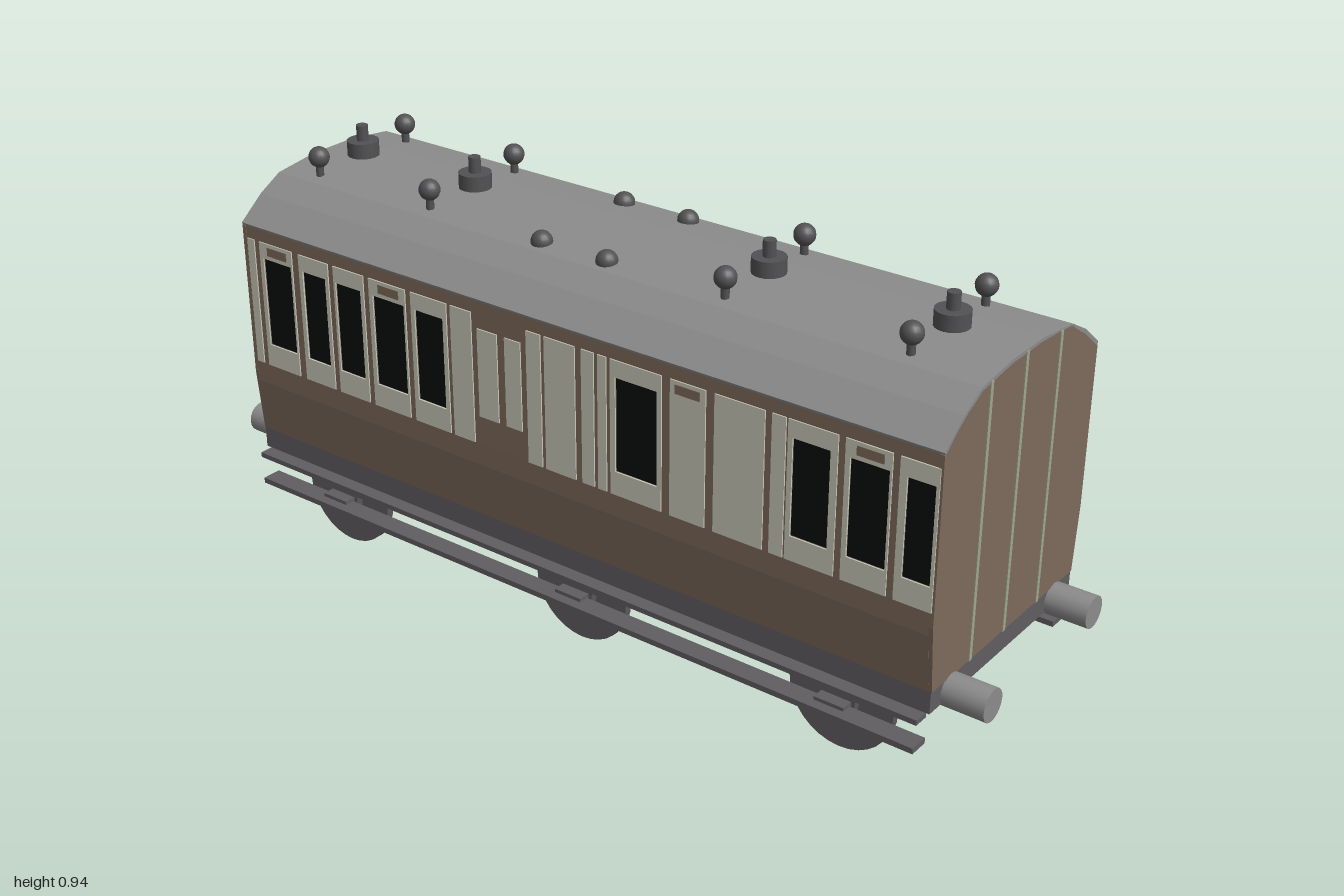
import * as THREE from 'three';

const mat = (name, color, side = THREE.FrontSide) => {
  const m = new THREE.MeshStandardMaterial({ color, side });
  m.name = name;
  return m;
};

export function createModel() {
  const group = new THREE.Group();
  const brown = mat('bodyBrown', 0x7d6a5b);
  const cream = mat('panelCream', 0xc9c9b9);
  const sage = mat('stripSage', 0x9fa68e);
  const roofGrey = mat('roofGrey', 0x8c8c8c);
  const frameGrey = mat('frameGrey', 0x605d61);
  const fittingGrey = mat('fittingGrey', 0x525254);
  const black = mat('glassBlack', 0x090a0b);

  const add = (name, geo, material, x = 0, y = 0, z = 0) => {
    const mesh = new THREE.Mesh(geo, material);
    mesh.name = name;
    mesh.position.set(x, y, z);
    group.add(mesh);
    return mesh;
  };
  // box given by its limits
  const box = (name, m, x0, x1, y0, y1, z0, z1) =>
    add(name, new THREE.BoxGeometry(Math.abs(x1 - x0), y1 - y0, Math.abs(z1 - z0)), m,
      (x0 + x1) / 2, (y0 + y1) / 2, (z0 + z1) / 2);
  const poly = (pts) => new THREE.Shape(pts.map(([a, b]) => new THREE.Vector2(a, b)));
  const extrude = (shape, depth) =>
    new THREE.ExtrudeGeometry(shape, { depth, bevelEnabled: false }).translate(0, 0, -depth / 2);
  // upright plate drawn in (z, y), thickness along x
  const rect = (z0, z1, y0, y1) => poly([[-z0, y0], [-z1, y0], [-z1, y1], [-z0, y1]]);
  const sidePlate = (name, m, shape, x, t) =>
    add(name, extrude(shape, t).rotateY(Math.PI / 2), m, x);

  const END = 0.905;
  const WIN_Y = [0.487, 0.7];
  const BAND_Y = [0.433, 0.738];
  const arc = [[0.298, 0.772], [0.235, 0.822], [0.175, 0.855], [0.06, 0.869]];
  const mirror = (pts) => [...pts, ...pts.slice().reverse().map(([x, y]) => [-x, y])];

  // floor frame
  box('underframe', frameGrey, -0.283, 0.283, 0.2, 0.25, -END, END);

  // roof shell
  const inner = arc.map(([x, y]) => [x - 0.003, y - 0.008]);
  const outerLine = mirror(arc);
  add('roof', extrude(poly([...outerLine, ...mirror(inner).reverse()]), 2 * END + 0.004), roofGrey);

  // end walls with upright strips
  const endShape = poly(mirror([[0.283, 0.25], [0.296, 0.4], [0.297, 0.766],
    ...arc.slice(1).map(([x, y]) => [x, y - 0.004])]));
  for (const s of [1, -1]) {
    add('endWall', extrude(endShape, 0.01), brown, 0, 0, s * (END - 0.003));
    for (const [x, top] of [[-0.14, 0.855], [-0.007, 0.866], [0.13, 0.857]])
      box('endStrip', sage, x - 0.005, x + 0.005, 0.25, top, s * (END + 0.001), s * (END + 0.004));
  }

  // side walls: spans run from front to back
  const windows = [[0.895, 0.834], [0.797, 0.711], [0.668, 0.583], [-0.305, -0.385],
    [-0.417, -0.508], [-0.545, -0.62], [-0.652, -0.722], [-0.759, -0.845]];
  const panels = [[0.902, 0.818], [0.802, 0.7], [0.684, 0.572], [0.567, 0.535], [0.519, 0.401],
    [0.38, 0.294], [0.273, 0.144], [0.134, 0.112], [0.102, 0.07], [0.053, -0.027],
    [-0.037, -0.075], [-0.225, -0.283], [-0.294, -0.396], [-0.412, -0.519], [-0.535, -0.626],
    [-0.642, -0.733], [-0.754, -0.856], [-0.872, -0.893]];
  const shortPanels = [[-0.091, -0.134], [-0.155, -0.209]];
  const vents = [0.755, 0.337, -0.46, -0.8];

  for (const s of [1, -1]) {
    const holes = s > 0 ? windows : [...windows, [0.262, 0.157]];
    const cut = (shape, list) => {
      list.forEach(([a, b]) => shape.holes.push(rect(a, b, ...WIN_Y)));
      return shape;
    };
    const lower = poly([[0.283, 0.25], [0.295, 0.38], [0.296, 0.433], [0.288, 0.433], [0.275, 0.25]]
      .map(([x, y]) => [s * x, y]));
    add('lowerSide', extrude(lower, 2 * END - 0.012), brown);
    sidePlate('upperSide', brown, cut(rect(0.899, -0.899, 0.433, 0.772), holes), s * 0.292, 0.008);
    for (const [a, b] of panels) {
      const own = holes.filter(([c, d]) => c < a && d > b);
      sidePlate('sidePanel', cream, cut(rect(a, b, ...BAND_Y), own), s * 0.297, 0.004);
    }
    for (const [a, b] of shortPanels)
      sidePlate('shortPanel', cream, rect(a, b, 0.5, 0.705), s * 0.297, 0.004);
    for (const z of vents)
      sidePlate('doorVent', brown, rect(z + 0.03, z - 0.03, 0.71, 0.73), s * 0.299, 0.003);
    // dark glass on the right side only
    if (s < 0) for (const [a, b] of holes)
      sidePlate('windowGlass', black, rect(a, b, ...WIN_Y), -0.292, 0.004);

    // footboards
    box('upperFootboard', frameGrey, s * 0.272, s * 0.308, 0.182, 0.194, -0.9, 0.892);
    box('lowerFootboard', frameGrey, s * 0.262, s * 0.308, 0.114, 0.127, -0.897, 0.888);

    // buffers
    for (const e of [1, -1])
      add('buffer', new THREE.CylinderGeometry(0.036, 0.036, 0.1, 20).rotateX(Math.PI / 2),
        roofGrey, s * 0.209, 0.22, e * 0.95);

    // wheels with springs and axle boxes
    const spring = poly(mirror([[0.16, 0.2], [0.16, 0.188], [0.14, 0.178], [0.14, 0.16],
      [0.115, 0.152], [0.095, 0.138], [0.045, 0.138], [0.04, 0.105]]));
    for (const z of [0.68, 0.013, -0.685]) {
      add('wheel', new THREE.CylinderGeometry(0.123, 0.123, 0.018, 32).rotateZ(Math.PI / 2),
        frameGrey, s * 0.23, 0.127, z);
      add('spring', extrude(spring, 0.024).rotateY(Math.PI / 2), frameGrey, s * 0.245, 0, z);
      box('axleBox', frameGrey, s * 0.25, s * 0.285, 0.1, 0.135, z - 0.035, z + 0.035);
    }

    // roof lamps
    for (const z of [-0.81, -0.475, 0.31, 0.735]) {
      add('lampStalk', new THREE.CylinderGeometry(0.009, 0.009, 0.05, 10), fittingGrey,
        s * 0.14, 0.868, z);
      add('lampGlobe', new THREE.SphereGeometry(0.024, 16, 12), fittingGrey, s * 0.14, 0.903, z);
    }
    for (const z of [-0.16, 0.013])
      add('roofDome', new THREE.SphereGeometry(0.024, 16, 12), fittingGrey, s * 0.14, 0.862, z);
  }

  // roof ventilators
  for (const z of [-0.81, -0.468, 0.318, 0.741]) {
    add('ventBase', new THREE.CylinderGeometry(0.037, 0.037, 0.045, 20), fittingGrey, 0, 0.8815, z);
    add('ventCap', new THREE.CylinderGeometry(0.014, 0.014, 0.04, 12), fittingGrey, 0, 0.92, z);
  }
  return group;
}
